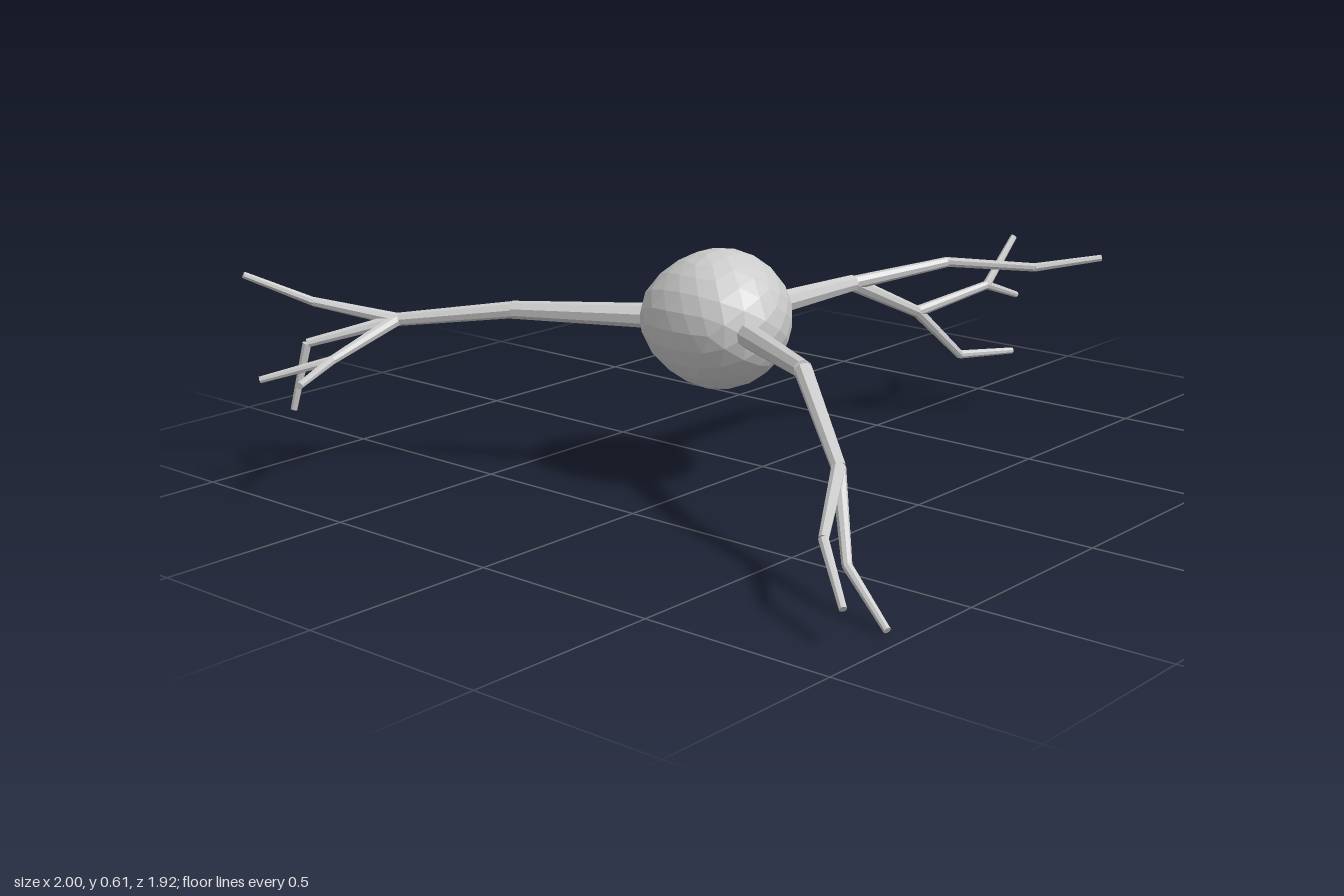
import * as THREE from 'three';

const material = new THREE.MeshStandardMaterial({ color: 0xcccccc, flatShading: true, roughness: 0.8 });
const CENTRE = new THREE.Vector3(-0.185, 0.44, 0.015);
const UP = new THREE.Vector3(0, 1, 0);

// Node of a branching arm: position, radius there, and the nodes that grow from it
const node = (x, y, z, r, ...children) => ({ p: new THREE.Vector3(x, y, z), r, children });
const TIP = 0.009, TWIG = 0.012;

const ARMS = {
  leftArm: node(0.365, 0.435, 0.01, 0.023,
    node(0.61, 0.472, 0.15, 0.014,
      node(0.73, 0.465, 0.355, TWIG, node(0.85, 0.49, 0.49, TIP))),
    node(0.62, 0.315, 0.045, 0.016,
      node(0.82, 0.37, 0.14, TWIG,
        node(0.945, 0.49, 0.145, TIP),
        node(0.995, 0.31, 0.125, TIP)),
      node(0.79, 0.163, 0.075, TWIG, node(0.96, 0.152, 0.14, TIP)))),
  rightBackArm: node(-0.45, 0.44, -0.455, 0.023,
    node(-0.63, 0.412, -0.69, 0.017,
      node(-0.76, 0.457, -0.86, TWIG, node(-0.9, 0.537, -0.955, TIP)),
      node(-0.81, 0.362, -0.83, TWIG, node(-0.835, 0.187, -0.865, TIP)),
      node(-0.83, 0.34, -0.712, TWIG,
        node(-0.963, 0.297, -0.83, TIP),
        node(-0.995, 0.322, -0.635, TIP)))),
  rightFrontArm: node(-0.45, 0.443, 0.49, 0.023,
    node(-0.583, 0.283, 0.697, 0.017,
      node(-0.77, 0.19, 0.802, TWIG, node(-0.858, 0.088, 0.923, TIP)),
      node(-0.687, 0.108, 0.802, TWIG, node(-0.74, 0.012, 0.95, TIP)))),
};

// Tapered segment from a to b
function segment(a, ra, b, rb) {
  const dir = b.clone().sub(a);
  const mesh = new THREE.Mesh(new THREE.CylinderGeometry(rb, ra, dir.length(), 8), material);
  mesh.position.copy(a).addScaledVector(dir, 0.5);
  mesh.quaternion.setFromUnitVectors(UP, dir.normalize());
  return mesh;
}

// Grow the segments leaving a node, level by level
function grow(group, parent, depth = 0) {
  for (const child of parent.children) {
    const start = Math.min(parent.r, child.r + 0.005);
    const mesh = segment(parent.p, start, child.p, child.r);
    mesh.name = child.children.length ? `branch${depth + 1}` : 'twigTip';
    group.add(mesh);
    grow(group, child, depth + 1);
  }
}

// Faceted ball that swells gently towards each arm
function createBody() {
  const geometry = new THREE.IcosahedronGeometry(0.178, 3);
  const pos = geometry.attributes.position;
  const v = new THREE.Vector3();
  const dirs = Object.values(ARMS).map((arm) => arm.p.clone().sub(CENTRE).normalize());
  for (let i = 0; i < pos.count; i++) {
    v.fromBufferAttribute(pos, i);
    const n = v.clone().normalize();
    let swell = 1;
    for (const d of dirs) swell += 0.16 * Math.max(0, n.dot(d)) ** 5;
    v.multiplyScalar(swell);
    pos.setXYZ(i, v.x, v.y, v.z);
  }
  geometry.computeVertexNormals();
  const body = new THREE.Mesh(geometry, material);
  body.name = 'cellBody';
  body.position.copy(CENTRE);
  return body;
}

export function createModel() {
  const model = new THREE.Group();
  model.name = 'nerveCell';
  model.add(createBody());

  for (const [name, arm] of Object.entries(ARMS)) {
    const group = new THREE.Group();
    group.name = name;
    // Trunk starts just inside the body
    const root = CENTRE.clone().lerp(arm.p, 0.25);
    const trunk = segment(root, 0.033, arm.p, arm.r);
    trunk.name = 'trunk';
    group.add(trunk);
    grow(group, arm);
    model.add(group);
  }
  return model;
}
